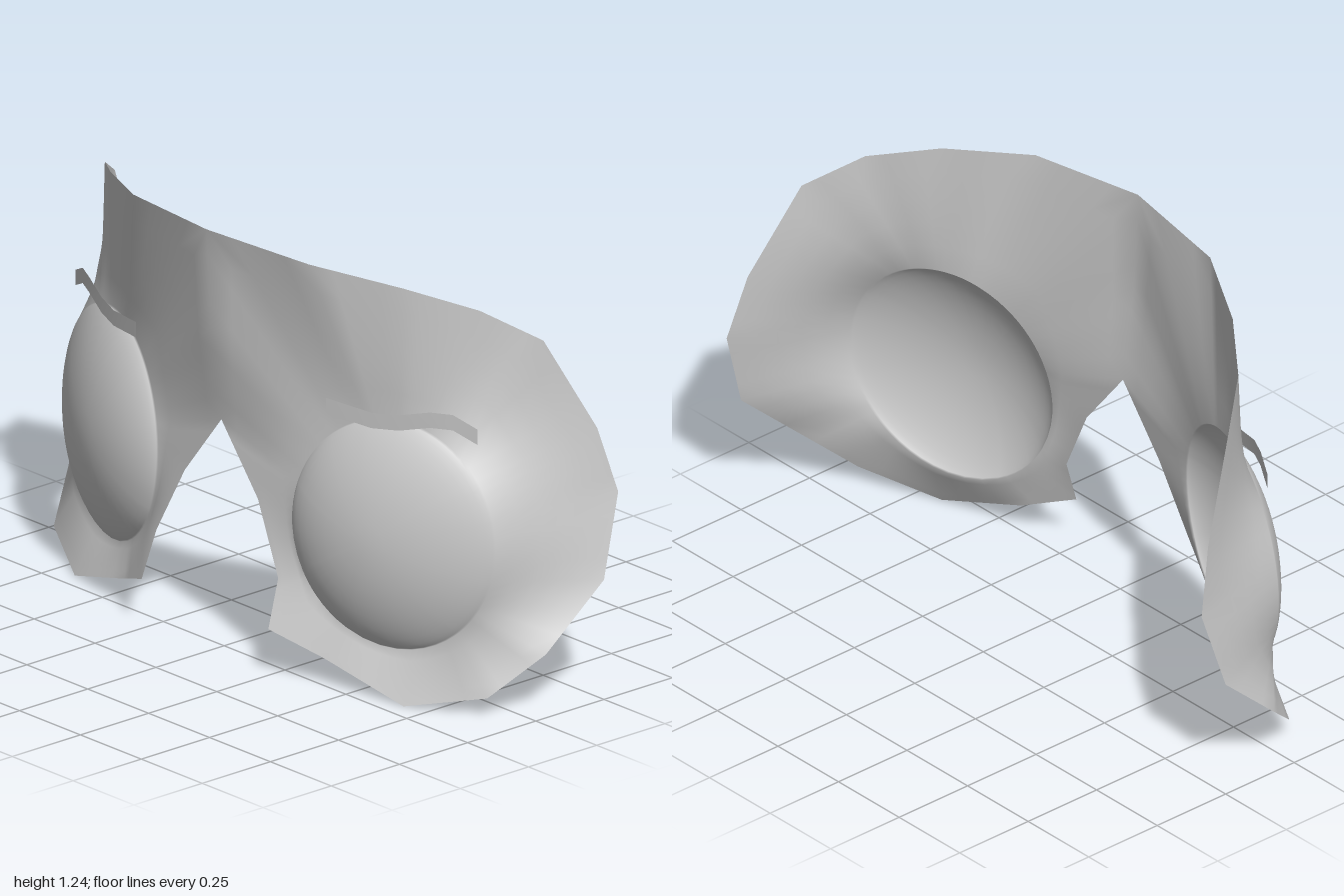
import * as THREE from 'three';
import { mergeVertices } from 'three/addons/utils/BufferGeometryUtils.js';

// Outer edge of the left half, clockwise from the top centre
const EDGE = [
  [0, 1.24, 0.315], [0.36, 1.225, 0.26], [0.6, 1.19, 0.13], [0.77, 1.14, 0],
  [0.88, 1.05, -0.135], [0.95, 0.78, -0.27], [0.98, 0.59, -0.32], [1, 0.355, -0.25],
  [0.98, 0.18, -0.055], [0.89, 0.06, 0.08], [0.675, 0.005, 0.195], [0.41, 0.085, 0.25],
  [0.26, 0.145, 0.32], [0.25, 0.28, 0.275], [0.15, 0.48, 0.26], [0, 0.67, 0.26],
  [0, 0.95, 0.3],
].map((p) => new THREE.Vector3(...p));

const EYE = { x: 0.58, y: 0.47, rx: 0.305, ry: 0.33, bulge: 0.1 };
const SPLIT = 4, DOME = 10, SKIRT = 5;

// Tilted plane in which the rim of the eye dome lies
const rimPlane = (x, y) => 0.145 - 0.33 * (x - EYE.x) - 0.04 * (y - EYE.y);

// Surface made of grid rows; rows are closed loops when closed is true
function gridIndex(rows, cols, closed, flip) {
  const index = [];
  for (let i = 0; i < rows - 1; i++) {
    for (let j = 0; j < (closed ? cols : cols - 1); j++) {
      const k = (j + 1) % cols;
      const a = i * cols + j, b = i * cols + k, c = a + cols, d = b + cols;
      if (flip) index.push(a, b, c, b, d, c);
      else index.push(a, c, b, b, c, d);
    }
  }
  return index;
}

// One half: rings grow from the dome centre to its rim, then out to the edge
function halfRings(side) {
  const loop = [];
  EDGE.forEach((p, i) => {
    const q = EDGE[(i + 1) % EDGE.length];
    for (let s = 0; s < SPLIT; s++) loop.push(p.clone().lerp(q, s / SPLIT));
  });
  const pos = [];
  for (let ring = 0; ring <= DOME + SKIRT; ring++) {
    for (const p of loop) {
      const dx = p.x - EYE.x, dy = p.y - EYE.y;
      const k = 1 / Math.hypot(dx / EYE.rx, dy / EYE.ry);
      const r = Math.sin((Math.min(ring / DOME, 1) * Math.PI) / 2);
      const v = new THREE.Vector3(EYE.x + dx * k * r, EYE.y + dy * k * r, 0);
      v.z = rimPlane(v.x, v.y) + EYE.bulge * Math.pow(Math.max(0, 1 - r * r), 0.8);
      if (ring > DOME) v.lerp(p, (ring - DOME) / SKIRT);
      pos.push(side * v.x, v.y, v.z);
    }
  }
  return { pos, index: gridIndex(DOME + SKIRT + 1, loop.length, true, side < 0) };
}

function surface(pos, index) {
  let geo = new THREE.BufferGeometry();
  geo.setAttribute('position', new THREE.Float32BufferAttribute(pos, 3));
  geo.setIndex(index);
  geo = mergeVertices(geo, 1e-4);
  geo.computeVertexNormals();
  return geo;
}

// Thin wavy strip standing just in front of the mask
function eyebrow(side) {
  const path = [
    [0.39, 0.79, 0.225], [0.46, 0.783, 0.205], [0.53, 0.775, 0.183], [0.61, 0.783, 0.155],
    [0.7, 0.808, 0.12], [0.76, 0.81, 0.09], [0.825, 0.778, 0.058],
  ];
  const pos = [];
  for (const lift of [0, 0.045]) {
    for (const [x, y, z] of path) pos.push(side * x, y + lift, z);
  }
  return surface(pos, gridIndex(2, path.length, false, side > 0));
}

export function createModel() {
  const group = new THREE.Group();
  const material = new THREE.MeshStandardMaterial({ color: 0xcccccc, side: THREE.DoubleSide });
  const add = (name, geo) => {
    const mesh = new THREE.Mesh(geo, material);
    mesh.name = name;
    group.add(mesh);
  };

  // Mask shell with both eye domes, joined along the middle
  const left = halfRings(1), right = halfRings(-1);
  const offset = left.pos.length / 3;
  add('maskShell', surface(
    [...left.pos, ...right.pos],
    [...left.index, ...right.index.map((i) => i + offset)],
  ));

  add('leftEyebrow', eyebrow(1));
  add('rightEyebrow', eyebrow(-1));
  return group;
}
